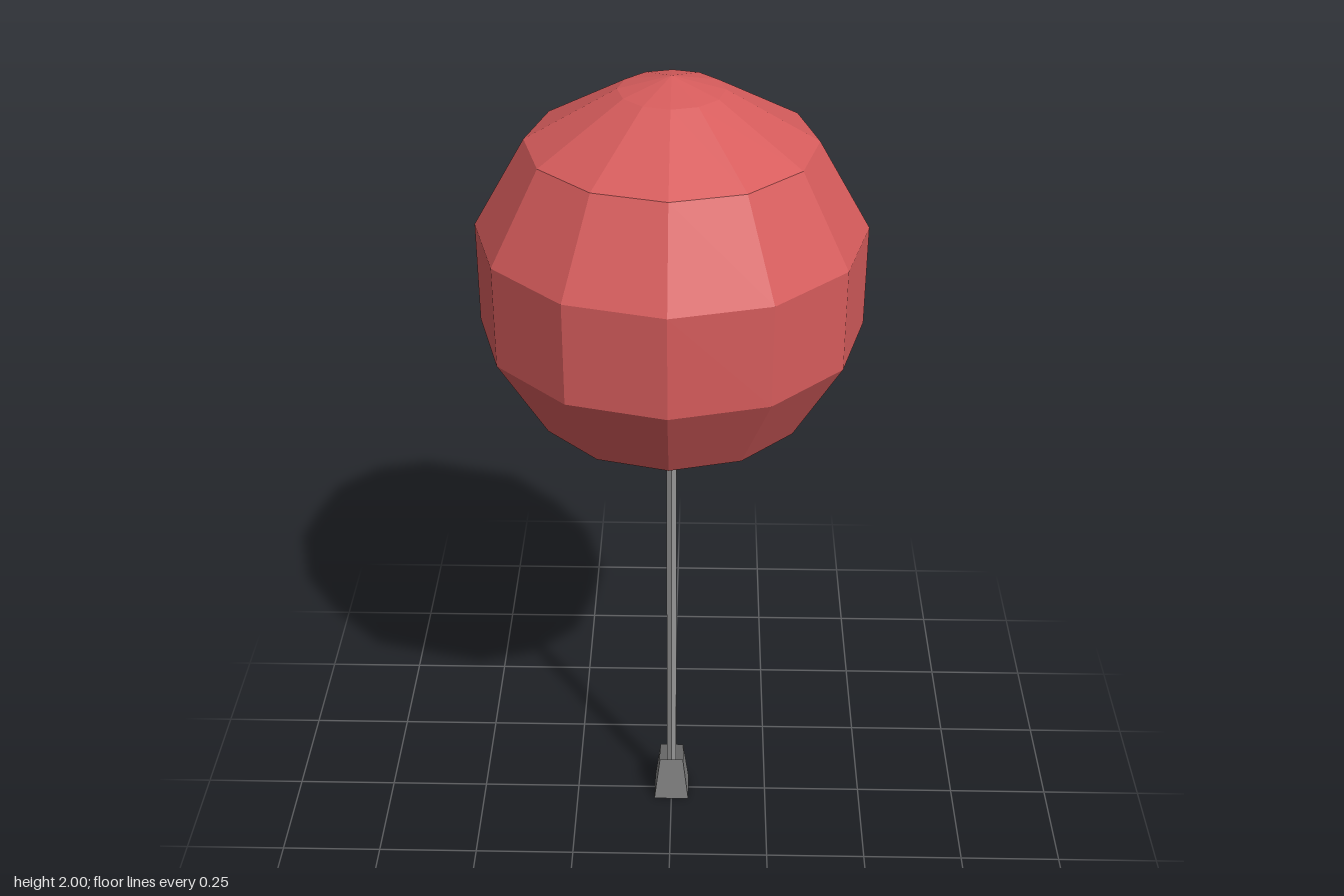
import * as THREE from 'three';

export function createModel() {
  const model = new THREE.Group();
  const red = new THREE.MeshStandardMaterial({ name: 'balloonRed', color: 0xd65c5c, flatShading: true });
  const lightGrey = new THREE.MeshStandardMaterial({ name: 'stringGrey', color: 0x959595, flatShading: true });
  const grey = new THREE.MeshStandardMaterial({
    name: 'weightGrey', color: 0x808080, flatShading: true, side: THREE.DoubleSide,
  });

  const add = (name, geometry, material, y = 0) => {
    const mesh = new THREE.Mesh(geometry, material);
    mesh.name = name;
    mesh.position.y = y;
    model.add(mesh);
    return mesh;
  };

  // Twelve-sided balloon, profile from bottom tip to top tip
  const profile = [
    [0, 1.078], [0.115, 1.107], [0.317, 1.221], [0.433, 1.421],
    [0.433, 1.656], [0.317, 1.856], [0.115, 1.97], [0, 2],
  ].map(([r, y]) => new THREE.Vector2(r, y));
  add('balloon', new THREE.LatheGeometry(profile, 12), red);

  // Thin straight string, running from inside the weight into the balloon
  const stringBottom = 0.03, stringTop = 1.09;
  add('string', new THREE.CylinderGeometry(0.014, 0.014, stringTop - stringBottom, 6),
    lightGrey, (stringBottom + stringTop) / 2);

  // Hollow, tapered square weight
  const weight = new THREE.CylinderGeometry(0.03 * Math.SQRT2, 0.045 * Math.SQRT2, 0.125, 4, 1, true);
  weight.rotateY(Math.PI / 4);
  add('weight', weight, grey, 0.0625);

  return model;
}
